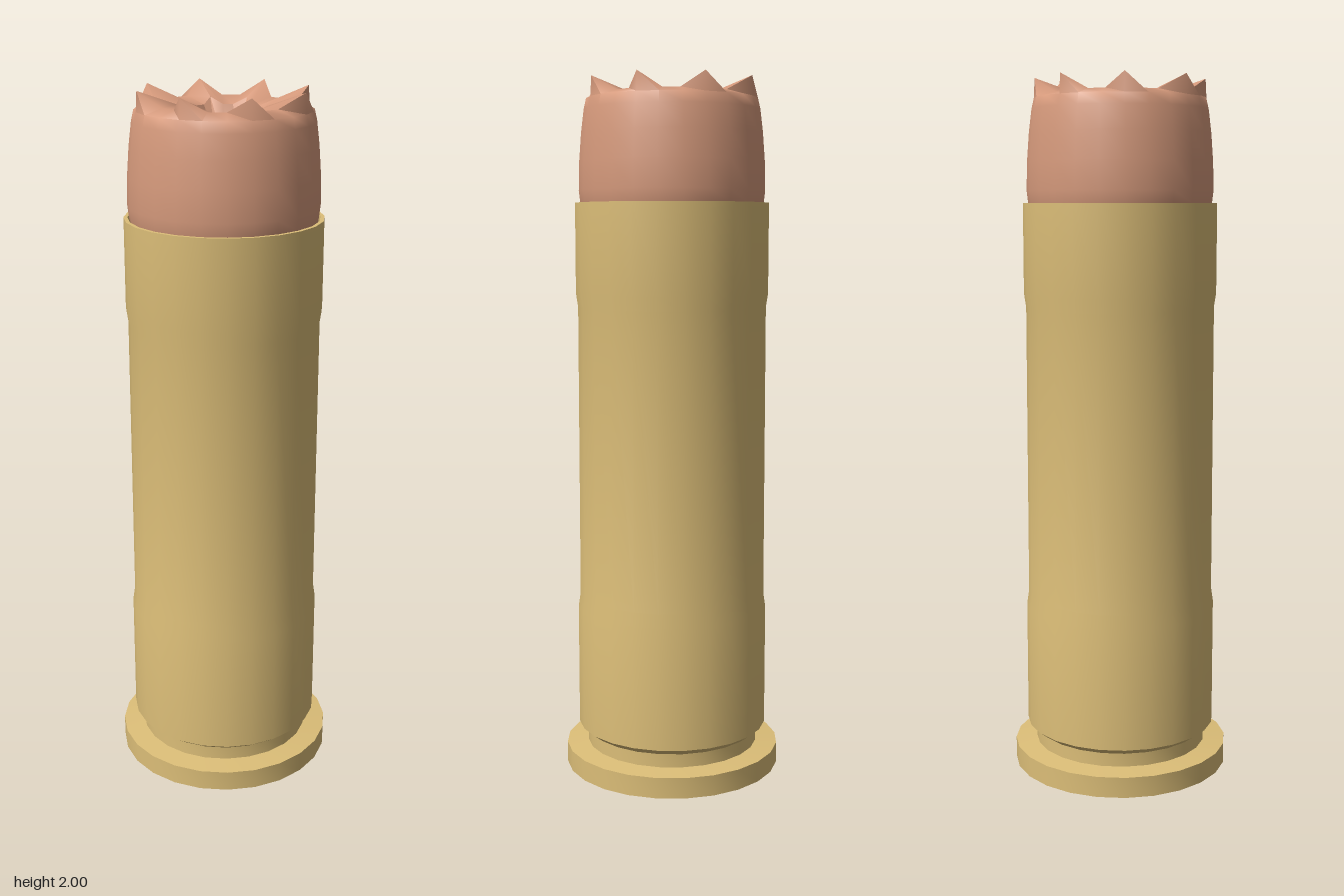
import * as THREE from 'three';
import { toCreasedNormals } from 'three/addons/utils/BufferGeometryUtils.js';

const SIDES = 24;

const brass = new THREE.MeshStandardMaterial({ name: 'brass', color: 0xdcbe78 });
const copper = new THREE.MeshStandardMaterial({ name: 'copper', color: 0xd69a7c });

function turned(profile) {
  return new THREE.LatheGeometry(profile.map(([r, y]) => new THREE.Vector2(r, y)), SIDES);
}

function addPart(group, name, geometry, material, crease) {
  const mesh = new THREE.Mesh(toCreasedNormals(geometry, crease), material);
  mesh.name = name;
  group.add(mesh);
}

export function createModel() {
  const model = new THREE.Group();
  model.name = 'cartridge';

  // Case: flanged base, extractor groove, slightly waisted wall and open mouth
  addPart(model, 'case', turned([
    [0, 0], [0.315, 0], [0.315, 0.06], [0.252, 0.066], [0.252, 0.105],
    [0.278, 0.125], [0.278, 0.48], [0.272, 0.52], [0.271, 1.36],
    [0.277, 1.4], [0.277, 1.655], [0.266, 1.655], [0.262, 1.62],
  ]), brass, 0.7);

  // Bullet: rounded shoulder, jagged rim, hollow tip
  const profile = [
    [0.252, 1.62], [0.262, 1.655], [0.266, 1.69], [0.264, 1.77], [0.258, 1.85], [0.25, 1.915],
    [0.243, 1.945], [0.19, 1.96], [0.105, 1.945], [0.085, 1.85], [0.05, 1.77], [0, 1.745],
  ];
  const rimRow = 7;
  const mouthRow = 8;
  const bullet = turned(profile);
  const pos = bullet.attributes.position;
  // Every third spoke pulls the rim up into a point and widens the mouth
  const pulled = { [rimRow]: [0.24, 2], [mouthRow]: [0.132, 1.962] };
  for (let i = 0; i <= SIDES; i += 3) {
    const a = (i / SIDES) * Math.PI * 2;
    for (const row of [rimRow, mouthRow]) {
      const [r, y] = pulled[row];
      pos.setXYZ(i * profile.length + row, Math.sin(a) * r, y, Math.cos(a) * r);
    }
  }
  addPart(model, 'hollowBullet', bullet, copper, 1.1);

  return model;
}
